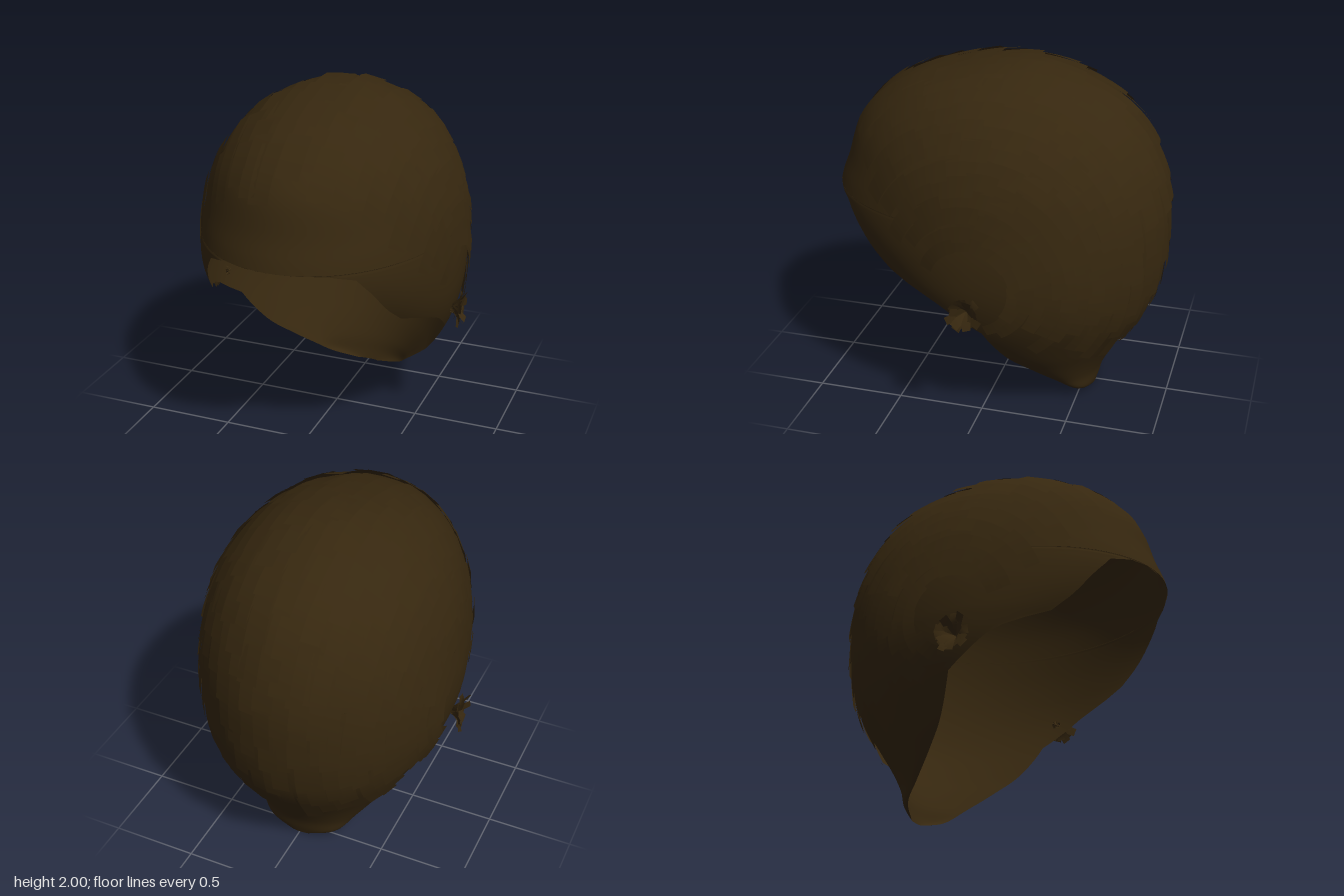
import * as THREE from 'three';
import { mergeVertices } from 'three/addons/utils/BufferGeometryUtils.js';

const hairMat = new THREE.MeshStandardMaterial({ color: 0x36270f, side: THREE.DoubleSide });
hairMat.name = 'dark brown hair';

// level outlines: y, half width, centre z, back z, front z
const LEVELS = [
  [0.01, 0.06, -0.56, -0.57, -0.5], [0.06, 0.22, -0.5, -0.585, -0.4], [0.15, 0.31, -0.4, -0.61, -0.2],
  [0.27, 0.42, -0.27, -0.67, 0.1], [0.4, 0.53, -0.15, -0.75, 0.3], [0.6, 0.65, -0.05, -0.87, 0.5],
  [0.8, 0.72, 0, -0.925, 0.7], [1.0, 0.74, 0, -0.945, 0.89], [1.2, 0.73, 0, -0.945, 0.965],
  [1.4, 0.7, 0, -0.905, 0.905], [1.58, 0.635, 0, -0.83, 0.85], [1.7, 0.565, 0, -0.745, 0.765],
  [1.8, 0.48, 0, -0.635, 0.645], [1.88, 0.38, 0, -0.5, 0.49], [1.94, 0.26, -0.03, -0.35, 0.27],
  [1.975, 0.14, -0.08, -0.23, 0.08], [1.987, 0, -0.1, -0.1, -0.1],
];
// how far each level wraps from the back towards the front
const WRAP = [[0.6, 1.571], [0.67, 1.71], [0.76, 1.86], [0.82, 2.02], [0.87, 2.26], [0.97, 2.356],
  [1.1, 2.44], [1.2, 2.54], [1.232, 2.72], [1.239, 2.95], [1.24, Math.PI]];
// lowest y that the locks reach, by z
const HAIRLINE = [[-1, 0.3], [-0.55, 0.35], [-0.15, 0.6], [0.1, 0.76], [0.3, 0.95], [0.6, 1.25], [0.75, 1.5], [0.9, 1.57]];

function lookup(table, v, k = 1) {
  if (v <= table[0][0]) return table[0][k];
  for (let i = 1; i < table.length; i++) {
    const a = table[i - 1], b = table[i];
    if (v <= b[0]) return a[k] + (b[k] - a[k]) * (v - a[0]) / (b[0] - a[0]);
  }
  return table[table.length - 1][k];
}

// smooth the level table
const splines = [1, 2, 3, 4].map(k => new THREE.SplineCurve(LEVELS.map(l => new THREE.Vector2(l[0], l[k]))));
const DENSE = [];
for (let i = 0; i <= 80; i++) {
  const p = splines.map(s => s.getPoint(i / 80));
  DENSE.push([p[0].y, ...p.map(q => q.x)].length ? [p[0].x, ...p.map(q => q.y)] : []);
}

let seed = 7;
const rand = () => (seed = (seed * 16807) % 2147483647) / 2147483647;
const spread = a => (rand() - 0.5) * 2 * a;

function makeGeometry(pos, idx) {
  const g = new THREE.BufferGeometry();
  g.setAttribute('position', new THREE.Float32BufferAttribute(pos, 3));
  g.setIndex(idx);
  return g;
}

function namedMesh(name, geometry) {
  geometry.computeVertexNormals();
  const m = new THREE.Mesh(geometry, hairMat);
  m.name = name;
  return m;
}

// smooth cap with open face and tapered nape
function capGeometry() {
  const ys = [...DENSE.map(d => d[0]), 1.22, 1.232, 1.239, 1.24].sort((a, b) => a - b);
  const cols = 72, pos = [], idx = [];
  ys.forEach((y, r) => {
    const [w, zc, back, front] = [1, 2, 3, 4].map(k => lookup(DENSE, y, k));
    for (let c = 0; c <= cols; c++) {
      const phi = (c / cols * 2 - 1) * lookup(WRAP, y), co = Math.cos(phi);
      pos.push(w * Math.sin(phi), y, zc + (co > 0 ? (back - zc) * co : (zc - front) * co));
      if (r && c) {
        const d = r * (cols + 1) + c, a = d - cols - 2;
        idx.push(a, d - 1, a + 1, a + 1, d - 1, d);
      }
    }
  });
  return mergeVertices(makeGeometry(pos, idx));
}

// point on the cap, seen from the centre of the head; beta runs front, top, back
function onCap(lambda, beta, lift) {
  const cl = Math.cos(lambda);
  const d = new THREE.Vector3(Math.sin(lambda), cl * Math.sin(beta), cl * Math.cos(beta));
  let lo = 0, hi = 1.6;
  for (let i = 0; i < 24; i++) {
    const m = (lo + hi) / 2, x = d.x * m, y = 0.9 + d.y * m, z = d.z * m;
    let inside = y > 0.01 && y < 1.987;
    if (inside) {
      const w = lookup(DENSE, y, 1), zc = lookup(DENSE, y, 2);
      const end = lookup(DENSE, y, z < zc ? 3 : 4) - zc;
      inside = (x / w) ** 2 + ((z - zc) / end) ** 2 < 1;
    }
    if (inside) lo = m; else hi = m;
  }
  return d.multiplyScalar(lo + lift).add(new THREE.Vector3(0, 0.9, 0));
}

// overlapping flat locks combed from the forehead back to the nape
function locksGeometry() {
  const pos = [], idx = [], steps = 5;
  for (let row = -13; row <= 13; row++) {
    const lam = row * 0.095, stretch = 1 / Math.max(0.35, Math.cos(lam));
    for (let b = -0.3 + rand() * 0.15; b < 4.1; b += (0.17 + rand() * 0.08) * stretch) {
      const len = (0.24 + rand() * 0.12) * stretch, half = 0.045 + rand() * 0.015;
      const l0 = lam + spread(0.025), tail = 0.014 + rand() * 0.012;
      const ends = [onCap(l0, b, 0), onCap(l0, b + len, 0)];
      if (ends.some(p => p.y < lookup(HAIRLINE, p.z))) continue;
      const base = pos.length / 3;
      for (let s = 0; s <= steps; s++) {
        const t = s / steps;
        for (const side of [-1, 1]) {
          const p = onCap(l0 + side * half, b + len * t, 0.004 + tail * t);
          pos.push(p.x, p.y, p.z);
        }
        if (s) {
          const a = base + s * 2 - 2;
          idx.push(a, a + 1, a + 2, a + 1, a + 3, a + 2);
        }
      }
    }
  }
  return makeGeometry(pos, idx);
}

// crumpled little locks fanning out in front of the ear
function tuftGeometry(side) {
  const pos = [], idx = [];
  for (let i = 0; i < 16; i++) {
    const ang = i / 16 * Math.PI * 2 + spread(0.2), r = 0.08 + rand() * 0.04;
    const u = [Math.sin(ang), Math.cos(ang)], v = [u[1], -u[0]], w = 0.025;
    const base = pos.length / 3, tip = 0.745 + rand() * 0.045;
    for (const [along, x] of [[0, 0.7], [0.5, 0.755], [1, tip]])
      for (const s of [-1, 1])
        pos.push(side * (x + spread(0.008)), 0.76 + u[0] * r * along + v[0] * w * s,
          0.02 + u[1] * r * along * 0.85 + v[1] * w * s);
    idx.push(base, base + 1, base + 2, base + 1, base + 3, base + 2,
      base + 2, base + 3, base + 4, base + 3, base + 5, base + 4);
  }
  return makeGeometry(pos, idx);
}

export function createModel() {
  const group = new THREE.Group();
  group.name = 'hair';
  group.add(namedMesh('hairCap', capGeometry()));
  group.add(namedMesh('hairLocks', locksGeometry()));
  group.add(namedMesh('leftEarTuft', tuftGeometry(1)));
  group.add(namedMesh('rightEarTuft', tuftGeometry(-1)));
  return group;
}
